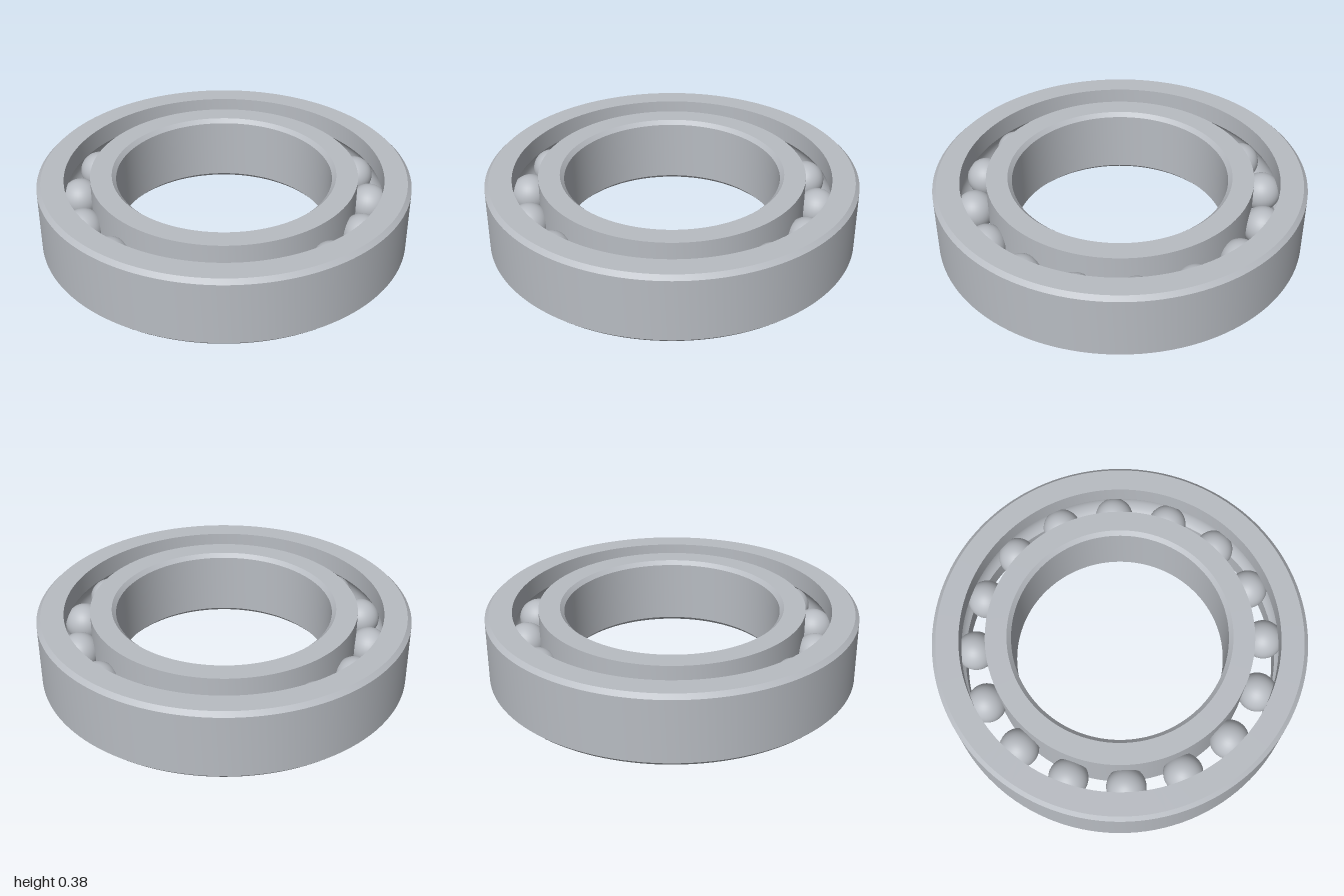
import * as THREE from 'three';
import { toCreasedNormals } from 'three/addons/utils/BufferGeometryUtils.js';

const HEIGHT = 0.385, CHAMFER = 0.022;
const PITCH = 0.787, BALL_RADIUS = 0.106, GROOVE_RADIUS = 0.108, BALLS = 16;
const OUTER = { rim: 1, wall: 0.856 };
const INNER = { rim: 0.58, wall: 0.717 };

// Arc of the ball groove, from one edge of the race wall to the other
function groove(wall, middleAngle) {
  const half = Math.acos(Math.abs(wall - PITCH) / GROOVE_RADIUS);
  const steps = 14;
  return Array.from({ length: steps + 1 }, (_, i) => {
    const a = middleAngle + half - (2 * half * i) / steps;
    return [PITCH + GROOVE_RADIUS * Math.cos(a), HEIGHT / 2 + GROOVE_RADIUS * Math.sin(a)];
  });
}

function ring(name, profile, material) {
  const points = profile.map(([x, y]) => new THREE.Vector2(x, y));
  const geometry = toCreasedNormals(new THREE.LatheGeometry(points, 128), 0.5);
  const mesh = new THREE.Mesh(geometry, material);
  mesh.name = name;
  return mesh;
}

export function createModel() {
  const model = new THREE.Group();
  model.name = 'ballBearing';
  const steel = new THREE.MeshStandardMaterial({ color: 0xb8bcc2 });
  steel.name = 'steel';

  // Outer ring: chamfered outside, grooved inside
  model.add(ring('outerRing', [
    [OUTER.rim - CHAMFER, 0], [OUTER.rim, CHAMFER],
    [OUTER.rim, HEIGHT - CHAMFER], [OUTER.rim - CHAMFER, HEIGHT],
    [OUTER.wall, HEIGHT], ...groove(OUTER.wall, 0), [OUTER.wall, 0],
    [OUTER.rim - CHAMFER, 0],
  ], steel));

  // Inner ring: grooved outside, chamfered bore
  model.add(ring('innerRing', [
    [INNER.wall, 0], ...groove(INNER.wall, Math.PI).reverse(), [INNER.wall, HEIGHT],
    [INNER.rim + CHAMFER, HEIGHT], [INNER.rim, HEIGHT - CHAMFER],
    [INNER.rim, CHAMFER], [INNER.rim + CHAMFER, 0],
    [INNER.wall, 0],
  ].map((p) => p), steel));

  // Balls evenly spaced between the races
  const balls = new THREE.Group();
  balls.name = 'balls';
  const ballGeometry = new THREE.SphereGeometry(BALL_RADIUS, 32, 20);
  for (let i = 0; i < BALLS; i++) {
    const a = (i / BALLS) * Math.PI * 2;
    const ball = new THREE.Mesh(ballGeometry, steel);
    ball.name = 'ball';
    ball.position.set(PITCH * Math.cos(a), HEIGHT / 2, PITCH * Math.sin(a));
    balls.add(ball);
  }
  model.add(balls);
  return model;
}
